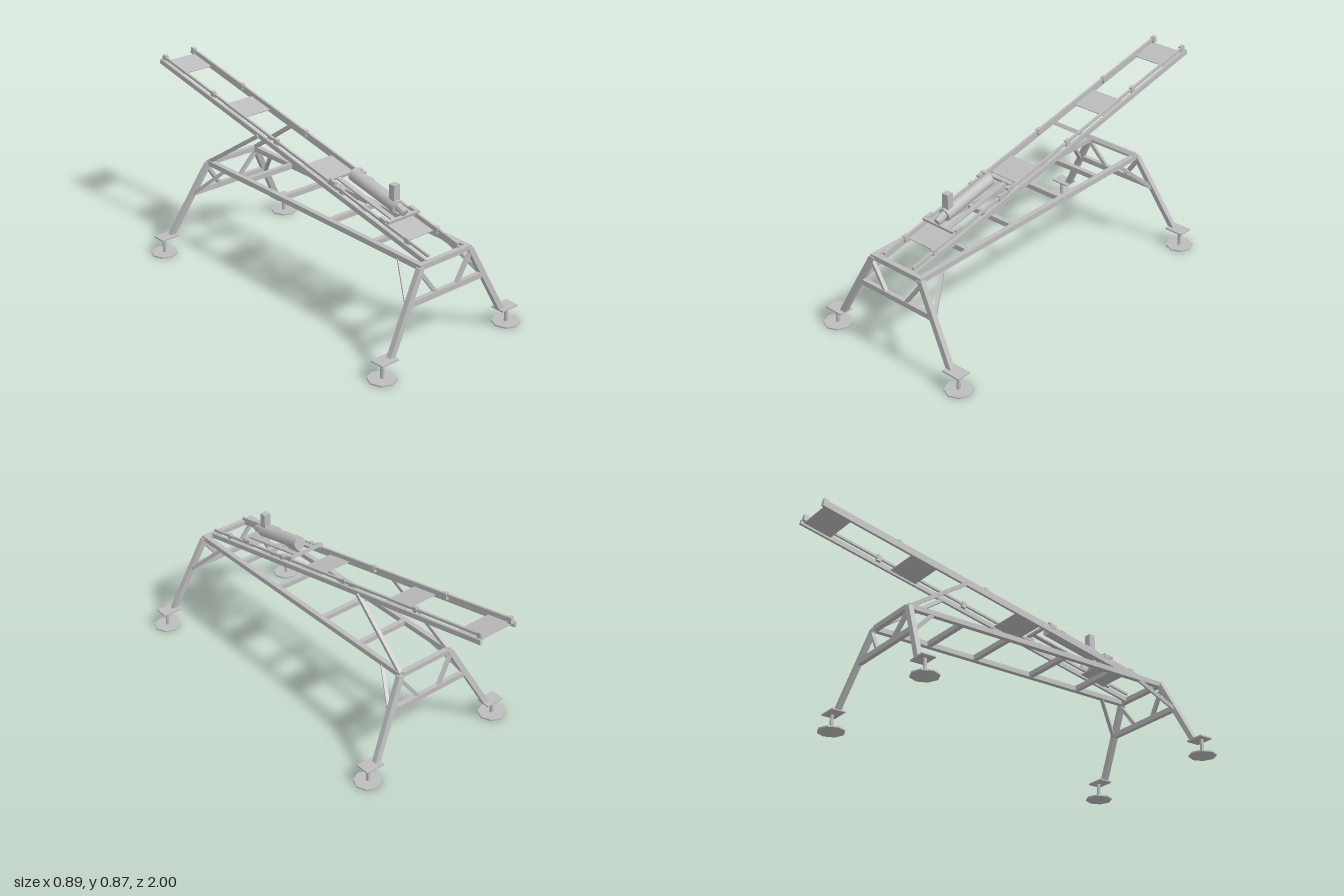
import * as THREE from 'three';

export function createModel() {
  const model = new THREE.Group();
  model.name = 'inclinedLaunchRack';
  const steel = new THREE.MeshStandardMaterial({ name: 'grey steel', color: 0xbcbcbc, flatShading: true });
  const smoothSteel = new THREE.MeshStandardMaterial({ name: 'smooth grey steel', color: 0xbcbcbc });

  const add = (name, geometry, x, y, z, material = steel) => {
    const mesh = new THREE.Mesh(geometry, material);
    mesh.name = name;
    mesh.position.set(x, y, z);
    model.add(mesh);
    return mesh;
  };
  const box = (name, w, h, d, x, y, z) => add(name, new THREE.BoxGeometry(w, h, d), x, y, z);

  // Square bar from point a to point b
  const beam = (name, a, b, w, h = w) => {
    const p = new THREE.Vector3(...a), q = new THREE.Vector3(...b);
    const mid = p.clone().add(q).multiplyScalar(0.5);
    const mesh = box(name, w, h, p.distanceTo(q), mid.x, mid.y, mid.z);
    mesh.lookAt(q);
    return mesh;
  };

  // Round bar from a to b
  const tube = (name, a, b, r, sides, material) => {
    const p = new THREE.Vector3(...a), q = new THREE.Vector3(...b);
    const mid = p.clone().add(q).multiplyScalar(0.5);
    const mesh = add(name, new THREE.CylinderGeometry(r, r, p.distanceTo(q), sides), mid.x, mid.y, mid.z, material);
    mesh.quaternion.setFromUnitVectors(new THREE.Vector3(0, 1, 0), q.sub(p).normalize());
    return mesh;
  };

  // Leg with level ends: a box sheared between its top and foot centres
  const leg = (top, foot) => {
    const h = top[1] - foot[1];
    const g = new THREE.BoxGeometry(0.031, h, 0.025);
    const kx = (top[0] - foot[0]) / h, kz = (top[2] - foot[2]) / h;
    g.applyMatrix4(new THREE.Matrix4().set(1, kx, 0, 0, 0, 1, 0, 0, 0, kz, 1, 0, 0, 0, 0, 1));
    add('leg', g, (top[0] + foot[0]) / 2, (top[1] + foot[1]) / 2, (top[2] + foot[2]) / 2);
  };

  // Horizontal base frame
  const railX = 0.141, railY = 0.439;
  for (const s of [-1, 1]) box('baseRail', 0.025, 0.025, 1.48, s * railX, railY, 0.17);
  for (const z of [0.897, 0.6, 0.315, -0.015, -0.275, -0.565])
    box('baseCrossBar', 0.27, 0.024, 0.024, 0, railY, z);

  // Legs, feet and bracing at both ends
  const ends = [
    { topZ: 0.902, footZ: 0.93, braceZ: 0.765 },
    { topZ: -0.567, footZ: -0.63, braceZ: -0.44 },
  ];
  for (const { topZ, footZ, braceZ } of ends) {
    const legAt = (y) => {
      const t = (0.44 - y) / 0.35;
      return [0.145 + 0.187 * t, y, topZ + (footZ - topZ) * t];
    };
    const barZ = legAt(0.292)[2];
    box('legCrossBar', 0.435, 0.026, 0.022, 0, 0.292, barZ);
    for (const s of [-1, 1]) {
      const side = ([x, y, z]) => [s * x, y, z];
      leg(side(legAt(0.44)), side(legAt(0.088)));
      beam('endBrace', side([0.15, 0.418, legAt(0.418)[2]]), side([0.063, 0.3, barZ]), 0.017);
      beam('sideBrace', side(legAt(0.28)), side([railX, 0.433, braceZ]), 0.016);
      box('footTopPlate', 0.097, 0.007, 0.07, s * 0.366, 0.0865, footZ);
      add('footPost', new THREE.CylinderGeometry(0.009, 0.009, 0.084, 8), s * 0.38, 0.044, footZ);
      const disc = new THREE.CylinderGeometry(0.066, 0.066, 0.007, 8);
      add('footDisc', disc, s * 0.381, 0.0035, footZ);
    }
  }

  // Sloping ramp: height of the main rail centre at a given z
  const slope = 0.2074;
  const rampY = (z, lift = 0) => 0.442 + (0.89 - z) * slope + lift;
  const along = (name, x, z0, z1, lift, w, h) =>
    beam(name, [x, rampY(z0, lift), z0], [x, rampY(z1, lift), z1], w, h);

  for (const s of [-1, 1]) {
    along('rampRail', s * 0.099, 0.9, -0.997, 0, 0.013, 0.024);
    along('guideRail', s * 0.088, 0.89, -0.99, 0.026, 0.011, 0.012);
    for (const z of [0.76, 0.34, -0.115, -0.59, -0.978])
      along('guideBracket', s * 0.087, z + 0.011, z - 0.011, 0.021, 0.018, 0.032);
    beam('rearStrut', [s * 0.141, 0.445, -0.56], [s * 0.103, 0.672, -0.228], 0.018);
  }
  for (const z of [-0.912, -0.452, 0.135, 0.667])
    along('rampPlate', 0, z + 0.069, z - 0.069, 0, 0.188, 0.004);

  // Sliding carriage
  for (const z of [0.642, 0.268]) along('carriageCrossBar', 0, z + 0.007, z - 0.007, 0.042, 0.186, 0.013);
  for (const s of [-1, 1]) {
    along('carriageRunner', s * 0.049, 0.64, 0.27, 0.04, 0.024, 0.008);
    for (const z of [0.61, 0.28]) along('carriageShoe', s * 0.088, z + 0.018, z - 0.018, 0.033, 0.017, 0.022);
  }

  // Engine cylinder, nozzle and upright block
  tube('engineBody', [0, 0.57, 0.605], [0, 0.631, 0.318], 0.031, 12, smoothSteel);
  tube('engineNozzle', [0, 0.582, 0.59], [0, 0.556, 0.652], 0.018, 8);
  box('engineBlock', 0.035, 0.08, 0.033, 0, 0.632, 0.583);

  return model;
}
